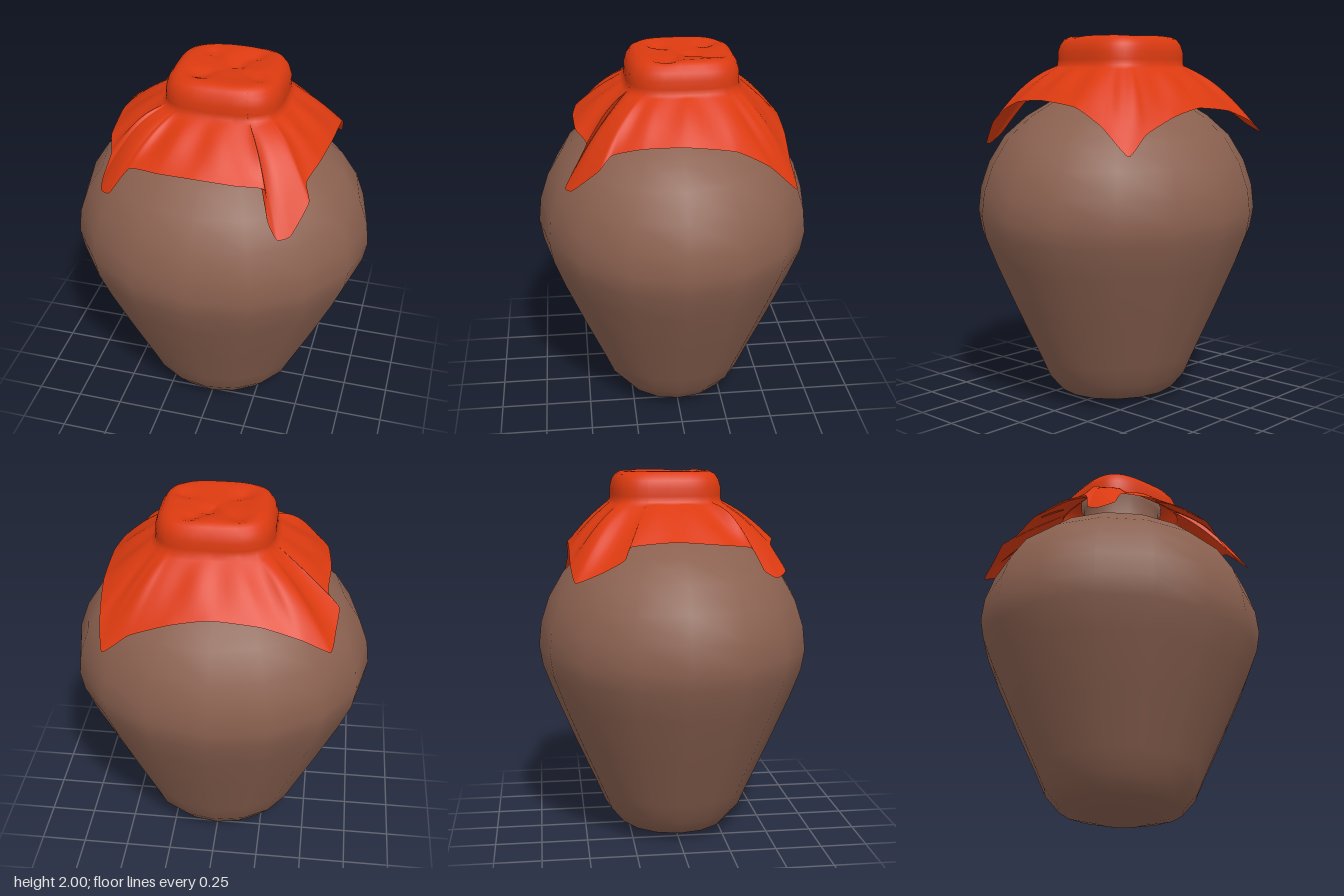
import * as THREE from 'three';

const clay = new THREE.MeshStandardMaterial({ color: 0x8b6150 });
clay.name = 'brown clay';
const fabric = new THREE.MeshStandardMaterial({ color: 0xdb3a10, side: THREE.DoubleSide });
fabric.name = 'red cloth';

// Jar: a 16-sided lathe, slightly flattened front to back
function makeJar() {
  const profile = [
    [0, 0], [0.15, 0], [0.34, 0.05], [0.42, 0.14], [0.47, 0.25], [0.6, 0.52],
    [0.72, 0.78], [0.785, 0.94], [0.805, 1.05], [0.79, 1.18], [0.74, 1.32],
    [0.65, 1.46], [0.52, 1.57], [0.38, 1.65], [0.26, 1.69], [0.23, 1.73],
    [0.23, 1.86], [0.25, 1.9], [0.2, 1.92], [0, 1.92],
  ].map(([r, y]) => new THREE.Vector2(r, y));
  const jar = new THREE.Mesh(new THREE.LatheGeometry(profile, 16), clay);
  jar.scale.z = 0.915;
  jar.name = 'jar';
  return jar;
}

// Hem of the cloth, running from the front towards +x and round
const hem = [
  [0, 1.65, 0.53], [0.2, 1.64, 0.52], [0.33, 1.61, 0.47],
  [0.36, 1.48, 0.54], [0.42, 1.41, 0.585], [0.48, 1.42, 0.55], [0.54, 1.54, 0.42],
  [0.51, 1.61, 0.35], [0.55, 1.65, 0.2], [0.575, 1.66, 0], [0.58, 1.63, -0.25],
  [0.57, 1.54, -0.42], [0.54, 1.4, -0.57], [0.4, 1.5, -0.56], [0.2, 1.58, -0.57],
  [0, 1.62, -0.57], [-0.25, 1.6, -0.57], [-0.45, 1.54, -0.57], [-0.59, 1.47, -0.55],
  [-0.61, 1.52, -0.42], [-0.62, 1.58, -0.31], [-0.56, 1.64, -0.27],
  [-0.57, 1.66, -0.05], [-0.55, 1.64, 0.2], [-0.5, 1.62, 0.34],
  [-0.53, 1.51, 0.4], [-0.52, 1.47, 0.47], [-0.45, 1.5, 0.53],
  [-0.36, 1.62, 0.47], [-0.2, 1.64, 0.51],
].map((p) => new THREE.Vector3(...p));

// Folds running out to the corners: angle, half width, height
const folds = [[0.74, 0.19, 0.05], [-0.81, 0.17, 0.05], [2.38, 0.12, 0.03], [-2.33, 0.12, 0.03]];
// Hollows in the top: x, z
const hollows = [[-0.1, 0.07], [0.2, 0.05], [0.05, -0.1], [0.13, -0.2], [-0.1, -0.19]];
const CX = 0.02, CZ = -0.04;

// Rounded-square rim point at an angle
function rimPoint(a) {
  const s = Math.sin(a), c = Math.cos(a), n = 3.2;
  const r = (Math.abs(s / 0.295) ** n + Math.abs(c / 0.285) ** n) ** (-1 / n);
  return [s * r, c * r];
}

// Cloth: rings from the centre over the rim, then down to the hem
function makeCloth() {
  const N = 210, SKIRT = 14;
  const top = [[0.001, 1.975], [0.2, 1.98], [0.4, 1.985], [0.55, 1.99], [0.7, 1.997],
    [0.82, 1.995], [0.92, 1.98], [0.99, 1.95], [1.03, 1.91], [1.03, 1.87], [1.04, 1.84]];
  const curve = new THREE.CatmullRomCurve3(hem, true, 'catmullrom', 0.25);
  const rows = top.length + SKIRT;
  const pos = [], index = [];
  for (let j = 0; j < rows; j++) {
    for (let i = 0; i < N; i++) {
      const end = curve.getPoint(i / N);
      const a = Math.atan2(end.x - CX, end.z - CZ);
      const [rx, rz] = rimPoint(a);
      if (j < top.length) {
        const [s, h] = top[j];
        const x = CX + rx * s, z = CZ + rz * s;
        let y = h;
        if (s < 0.95) {
          for (const [hx, hz] of hollows) y -= 0.025 * Math.exp(-((x - hx) ** 2 + (z - hz) ** 2) / 0.0025);
        }
        pos.push(x, y, z);
      } else {
        const t = (j - top.length + 1) / SKIRT, k = Math.sin(Math.PI * t);
        let y = THREE.MathUtils.lerp(1.84, end.y, t) + k * (0.01 + 0.008 * Math.sin(a * 13));
        for (const [fa, w, h] of folds) {
          const d = Math.atan2(Math.sin(a - fa), Math.cos(a - fa));
          y += h * k * Math.exp(-((d / w) ** 4));
        }
        pos.push(THREE.MathUtils.lerp(CX + rx * 1.04, end.x, t), y,
          THREE.MathUtils.lerp(CZ + rz * 1.04, end.z, t));
      }
      if (j < rows - 1) {
        const i2 = (i + 1) % N, p = j * N + i, q = j * N + i2;
        index.push(p, p + N, q, q, p + N, q + N);
      }
    }
  }
  const geo = new THREE.BufferGeometry();
  geo.setAttribute('position', new THREE.Float32BufferAttribute(pos, 3));
  geo.setIndex(index);
  geo.computeVertexNormals();
  const cloth = new THREE.Mesh(geo, fabric);
  cloth.name = 'clothCover';
  return cloth;
}

export function createModel() {
  const model = new THREE.Group();
  model.name = 'coveredJar';
  model.add(makeJar(), makeCloth());
  return model;
}
